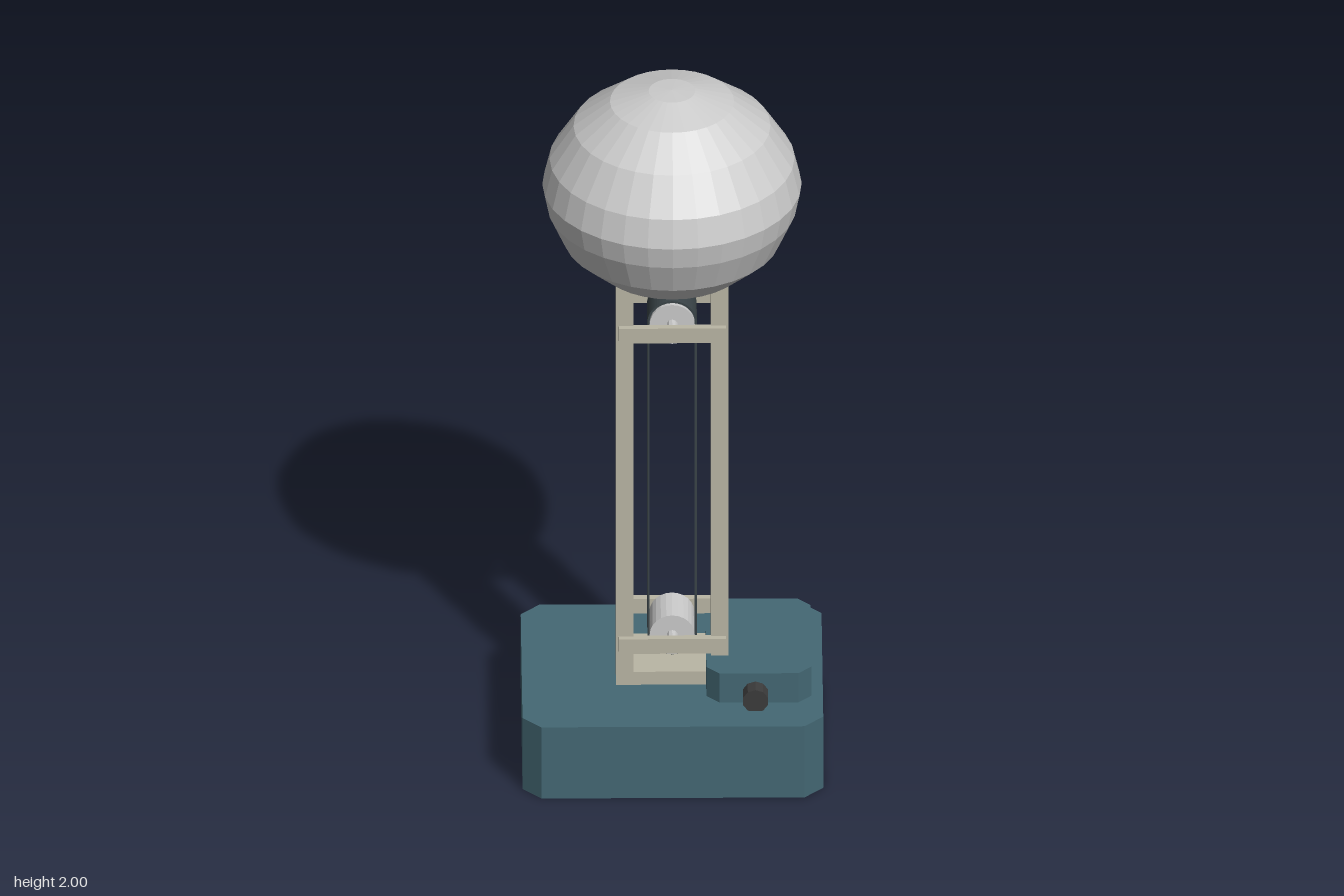
import * as THREE from 'three';

const mat = (color, extra = {}) => new THREE.MeshStandardMaterial({ color, flatShading: true, ...extra });

export function createModel() {
  const model = new THREE.Group();
  const teal = mat(0x446874), beige = mat(0xbab6a5), grey = mat(0xcccccc);
  const dark = mat(0x3a4448, { side: THREE.DoubleSide }), knobMat = mat(0x3c3c3c);

  const add = (name, geometry, material, x = 0, y = 0, z = 0) => {
    const mesh = new THREE.Mesh(geometry, material);
    mesh.name = name;
    mesh.position.set(x, y, z);
    model.add(mesh);
    return mesh;
  };

  // Upright block with its four vertical corners cut off, standing on y = 0
  const cutBlock = (w, h, d, c) => {
    const a = w / 2, b = d / 2;
    const shape = new THREE.Shape([
      [a - c, -b], [a, -b + c], [a, b - c], [a - c, b],
      [-a + c, b], [-a, b - c], [-a, -b + c], [-a + c, -b],
    ].map(([x, y]) => new THREE.Vector2(x, y)));
    return new THREE.ExtrudeGeometry(shape, { depth: h, bevelEnabled: false }).rotateX(-Math.PI / 2);
  };

  // Base, control box and knob
  add('base', cutBlock(0.8, 0.22, 0.64, 0.05), teal);
  add('controlBox', cutBlock(0.28, 0.09, 0.39, 0.035), teal, 0.23, 0.22, 0);
  add('controlKnob', new THREE.CylinderGeometry(0.035, 0.035, 0.05, 10).rotateX(Math.PI / 2),
    knobMat, 0.22, 0.25, 0.215);

  // Column: a tall frame with a rectangular opening through it
  const frame = new THREE.Shape([[-0.15, 0.22], [0.15, 0.22], [0.15, 1.48], [-0.15, 1.48]]
    .map(([x, y]) => new THREE.Vector2(x, y)));
  frame.holes.push(new THREE.Path([[-0.103, 0.26], [-0.103, 1.43], [0.103, 1.43], [0.103, 0.26]]
    .map(([x, y]) => new THREE.Vector2(x, y))));
  add('columnFrame', new THREE.ExtrudeGeometry(frame, { depth: 0.2, bevelEnabled: false }),
    beige, 0, 0, -0.1);

  // Rollers with axles, held by a crossbar at the front and the back
  for (const [label, y] of [['lower', 0.35], ['upper', 1.31]]) {
    add(label + 'Roller', new THREE.CylinderGeometry(0.06, 0.06, 0.12, 24).rotateX(Math.PI / 2), grey, 0, y, 0);
    add(label + 'Axle', new THREE.CylinderGeometry(0.015, 0.015, 0.21, 10).rotateX(Math.PI / 2), grey, 0, y, 0);
    for (const side of [1, -1]) {
      add(label + (side > 0 ? 'FrontBar' : 'BackBar'), new THREE.BoxGeometry(0.285, 0.045, 0.02),
        beige, 0, y - 0.003, side * 0.105);
    }
  }

  // Belt: a thin loop around both rollers
  const loop = (r, Kind) => {
    const p = new Kind();
    p.absarc(0, 1.31, r, 0, Math.PI, false);
    p.absarc(0, 0.35, r, Math.PI, Math.PI * 2, false);
    p.closePath();
    return p;
  };
  const beltShape = loop(0.066, THREE.Shape);
  beltShape.holes.push(loop(0.06, THREE.Path));
  add('belt', new THREE.ExtrudeGeometry(beltShape, { depth: 0.1, bevelEnabled: false, curveSegments: 12 }),
    dark, 0, 0, -0.05);

  // Flattened dome on top of the column
  const profile = [
    [0, 1.44], [0.13, 1.44], [0.2, 1.47], [0.29, 1.55], [0.332, 1.645], [0.345, 1.71],
    [0.326, 1.79], [0.262, 1.89], [0.165, 1.965], [0.062, 1.997], [0, 2],
  ].map(([x, y]) => new THREE.Vector2(x, y));
  add('dome', new THREE.LatheGeometry(profile, 32), grey);

  return model;
}
